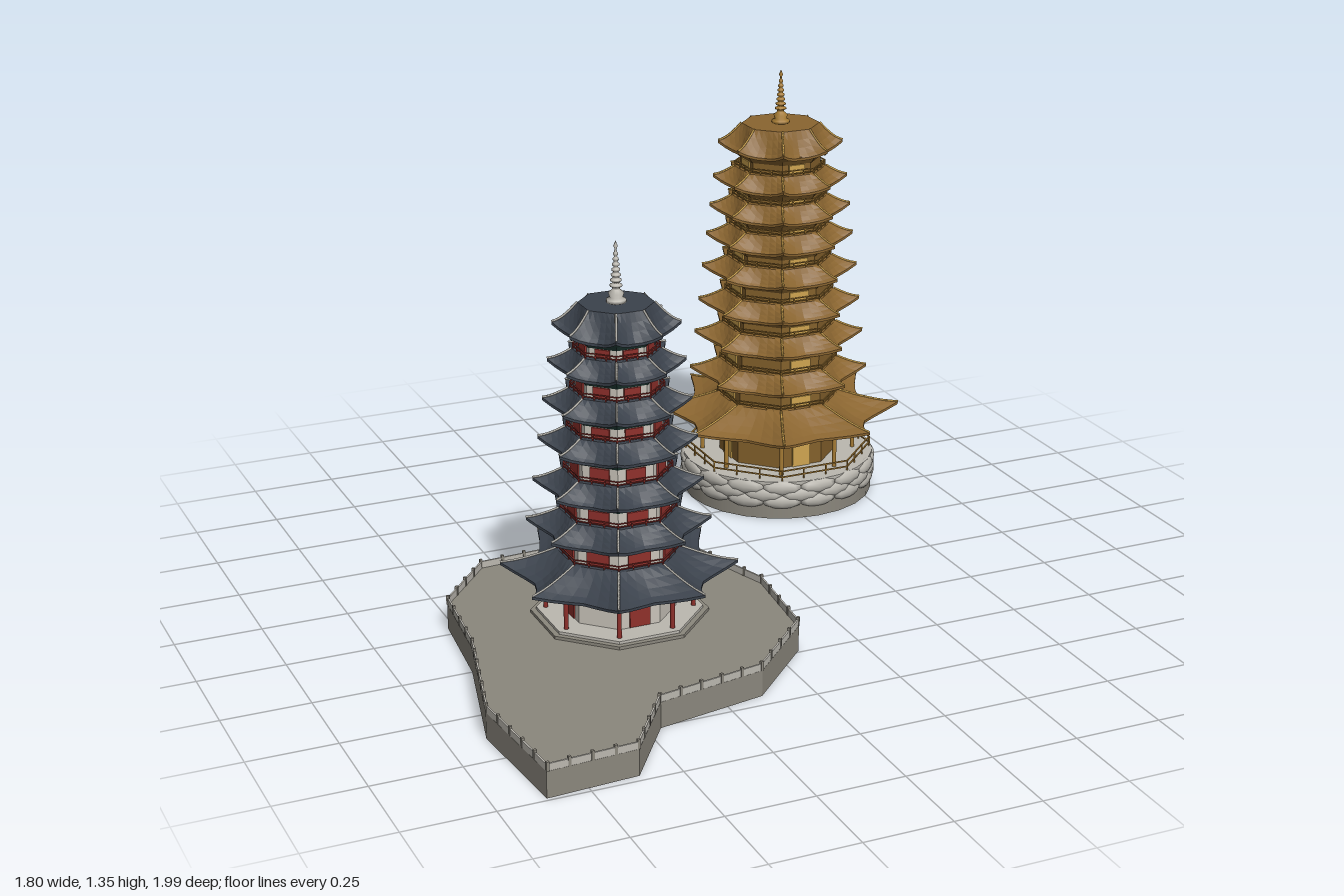
import * as THREE from 'three';

const mat = (name, color) => {
  const m = new THREE.MeshStandardMaterial({ color });
  m.name = name;
  return m;
};
const TAN = Math.tan(Math.PI / 8), COS = Math.cos(Math.PI / 8);
const lerp = THREE.MathUtils.lerp;

function add(parent, name, geo, material, x = 0, y = 0, z = 0) {
  const mesh = new THREE.Mesh(geo, material);
  mesh.name = name;
  mesh.position.set(x, y, z);
  parent.add(mesh);
  return mesh;
}

// Octagonal prism given by its apothems, with a flat side facing +z
function octagon(parent, name, material, apTop, apBottom, y0, y1) {
  const g = new THREE.CylinderGeometry(apTop / COS, apBottom / COS, y1 - y0, 8, 1, false, Math.PI / 8).toNonIndexed();
  g.computeVertexNormals();
  return add(parent, name, g, material, 0, (y0 + y1) / 2, 0);
}

// Places a thing on each of the eight sides
function eachSide(parent, name, step, build) {
  for (let i = 0; i < 8; i += step) {
    const side = new THREE.Group();
    side.name = name;
    side.rotation.y = i * Math.PI / 4;
    parent.add(side);
    build(side);
  }
}

// Closed eight-sided surface: point(row, t) gives [apothem, along, y] with t from -1 to 1
function sidedSurface(rows, point) {
  const N = 6, pos = [], idx = [], cols = 8 * N;
  for (let r = 0; r < rows; r++)
    for (let c = 0; c < cols; c++) {
      const a = Math.floor(c / N) * Math.PI / 4, [ap, along, y] = point(r, (c % N) / N * 2 - 1);
      pos.push(ap * Math.sin(a) + along * Math.cos(a), y, ap * Math.cos(a) - along * Math.sin(a));
    }
  for (let r = 0; r < rows - 1; r++)
    for (let c = 0; c < cols; c++) {
      const a = r * cols + c, d = r * cols + (c + 1) % cols;
      idx.push(a, a + cols, d + cols, a, d + cols, d);
    }
  const g = new THREE.BufferGeometry();
  g.setAttribute('position', new THREE.Float32BufferAttribute(pos, 3));
  g.setIndex(idx);
  const flat = g.toNonIndexed();
  flat.computeVertexNormals();
  return flat;
}

// Star-shaped roof with upturned corners, corner ridges and a bracketed underside
function roof(parent, o, m) {
  const { tip, eave, top, topAp, bodyAp } = o, lift = 0.022, low = eave - lift;
  const eavePoint = (t) => [tip * (0.82 + 0.18 * Math.abs(t) ** 1.5), t * TAN * tip, low + lift * Math.abs(t) ** 2.2];
  const shell = (r, t) => {
    const e = eavePoint(t);
    if (r === 5) return [e[0], e[1], e[2] - 0.008];
    const s = r / 4;
    return [lerp(topAp, e[0], s), lerp(topAp * TAN * t, e[1], s), lerp(top, e[2], 1 - (1 - s) ** 1.5)];
  };
  add(parent, 'roofTiles', sidedSurface(6, shell), m.roof);
  add(parent, 'roofUnderside', sidedSurface(2, (r, t) => {
    if (r === 0) return shell(5, t);
    return [bodyAp, bodyAp * TAN * t, low + 0.004];
  }), m.bracket);
  octagon(parent, 'brackets', m.bracket, bodyAp + 0.03, bodyAp + 0.012, low - 0.012, low + 0.003);
  octagon(parent, 'brackets', m.bracket, bodyAp + 0.012, bodyAp + 0.003, low - 0.026, low - 0.012);
  octagon(parent, 'roofCap', m.roof, topAp, topAp, top - 0.004, top);
  const pts = [0, 1, 2, 3, 4].map((r) => {
    const p = shell(r, 1);
    return new THREE.Vector3(p[1], p[2] + 0.001, p[0]);
  });
  const ridge = new THREE.TubeGeometry(new THREE.CatmullRomCurve3(pts), 8, 0.0035, 4);
  eachSide(parent, 'cornerRidge', 1, (s) => add(s, 'ridge', ridge, m.ridge));
}

// Two rails and posts around an octagon
function railing(parent, ap, y, height, material, bar = 0.004) {
  const w = 2 * ap * TAN;
  eachSide(parent, 'railing', 1, (s) => {
    for (const f of [0.45, 1]) add(s, 'rail', new THREE.BoxGeometry(w, bar, bar), material, 0, y + height * f, ap);
    for (const f of [-0.5, -0.17, 0.17])
      add(s, 'railPost', new THREE.BoxGeometry(bar, height, bar), material, w * f, y + height / 2, ap);
  });
}

// Lathe spire with stacked shrinking rings
function spire(parent, y0, y1, r, material) {
  const h = y1 - y0, pts = [[0, 0], [r * 1.25, 0], [r * 1.25, 0.05], [r * 0.8, 0.08], [r, 0.15], [r * 0.5, 0.21]];
  for (let i = 0; i < 7; i++) {
    const y = 0.24 + i * 0.085, k = r * (0.78 - i * 0.08);
    pts.push([k * 0.6, y], [k, y + 0.02], [k, y + 0.045], [k * 0.6, y + 0.065]);
  }
  pts.push([r * 0.12, 0.86], [r * 0.28, 0.91], [0, 1]);
  add(parent, 'spire', new THREE.LatheGeometry(pts.map(([x, y]) => new THREE.Vector2(x, y0 + y * h)), 12), material);
}

// Whole tower: each tier is [corner reach, eave height]
function pagoda(o, m) {
  const tower = new THREE.Group();
  tower.name = o.name;
  const last = o.tiers.length - 1;
  const bodyAt = (i) => i === 0 ? o.groundAp : lerp(o.firstAp, o.lastAp, (i - 1) / (last - 1));
  let floor = o.floor;
  o.tiers.forEach(([tip, eave], i) => {
    const ap = bodyAt(i), tier = new THREE.Group();
    tier.name = 'tier';
    tower.add(tier);
    const top = i === last ? o.roofTop : eave + (i ? 0.028 : 0.042);
    octagon(tier, 'walls', m.wall, ap, ap, floor - 0.01, eave);
    const w = i ? Math.min(0.068, ap * TAN * 1.1) : 0.06;
    const h = (eave - 0.05 - floor) * (i ? 0.94 : 0.85);
    eachSide(tier, i ? 'window' : 'door', i ? o.windowStep : 2, (s) =>
      add(s, 'panel', new THREE.BoxGeometry(w, h, 0.006), m.panel, 0, floor + h / 2 + 0.002, ap + 0.002));
    if (i) railing(tier, ap + 0.013, floor, 0.016, m.rail, 0.003);
    roof(tier, { tip, eave, top, bodyAp: ap, topAp: i === last ? o.roofTopAp : bodyAt(i + 1) + 0.016 }, m);
    floor = top;
  });
  // Ground floor veranda columns
  const h = o.tiers[0][1] - 0.018 - o.floor;
  eachSide(tower, 'verandaColumn', 1, (s) => add(s, 'column',
    new THREE.CylinderGeometry(0.007, 0.007, h, 8), m.rail, o.columnAp * TAN, o.floor + h / 2, o.columnAp));
  spire(tower, o.roofTop, o.spireTop, 0.022, m.spire);
  return tower;
}

export function createModel() {
  const stone = mat('stone', 0x8b877d), pale = mat('pale stone', 0xbbb8b0);
  const slate = mat('slate tile', 0x3b424c), white = mat('plaster', 0xc9c4ba);
  const red = mat('red lacquer', 0x8f302b), teal = mat('dark teal', 0x24423c);
  const bronze = mat('bronze tile', 0x8a6530), ochre = mat('ochre wall', 0x84612c);
  const gold = mat('bright gold', 0xcfa550), rich = mat('gold trim', 0xa87d35);
  const model = new THREE.Group();
  model.name = 'twinPagodas';

  // Island terrace
  const outline = [[-0.6, -0.24], [-0.26, -0.26], [0.01, -0.09], [0.1, 0.19], [0.07, 0.49], [-0.14, 0.7],
    [-0.46, 0.76], [-0.61, 0.975], [-0.865, 0.99], [-0.895, 0.63], [-0.8, 0.25], [-0.77, -0.04]];
  const island = new THREE.Group();
  island.name = 'island';
  model.add(island);
  const ground = new THREE.ExtrudeGeometry(new THREE.Shape(outline.map(([x, z]) => new THREE.Vector2(x, -z))),
    { depth: 0.075, bevelEnabled: false }).rotateX(-Math.PI / 2);
  add(island, 'terrace', ground, stone);
  // Parapet along the shore
  outline.forEach(([x0, z0], i) => {
    const [x1, z1] = outline[(i + 1) % outline.length];
    const len = Math.hypot(x1 - x0, z1 - z0), n = Math.round(len / 0.07);
    const edge = new THREE.Group();
    edge.name = 'parapet';
    edge.position.set(x0, 0.075, z0);
    edge.rotation.y = -Math.atan2(z1 - z0, x1 - x0);
    island.add(edge);
    add(edge, 'parapetWall', new THREE.BoxGeometry(len, 0.02, 0.005), pale, len / 2, 0.01, 0.003);
    for (let k = 0; k < n; k++)
      add(edge, 'parapetPost', new THREE.BoxGeometry(0.008, 0.027, 0.008), stone, len * k / n, 0.0135, 0.003);
  });

  // Slate tower on a stepped plinth
  const dark = pagoda({
    name: 'slatePagoda', floor: 0.092, groundAp: 0.145, firstAp: 0.145, lastAp: 0.096, columnAp: 0.19, windowStep: 1,
    roofTop: 0.985, roofTopAp: 0.096, spireTop: 1.157,
    tiers: [[0.305, 0.228], [0.236, 0.362], [0.217, 0.48], [0.202, 0.602], [0.188, 0.714], [0.174, 0.826], [0.161, 0.93]],
  }, { roof: slate, bracket: teal, ridge: pale, wall: white, panel: red, rail: red, spire: pale });
  octagon(dark, 'plinth', stone, 0.23, 0.23, 0.07, 0.084);
  octagon(dark, 'plinth', pale, 0.215, 0.215, 0.084, 0.092);
  dark.position.set(-0.345, 0, 0.2);
  model.add(dark);

  // Bronze tower on a lotus base
  const golden = pagoda({
    name: 'bronzePagoda', floor: 0.12, groundAp: 0.17, firstAp: 0.163, lastAp: 0.114, columnAp: 0.22, windowStep: 2,
    roofTop: 1.185, roofTopAp: 0.11, spireTop: 1.35,
    tiers: [[0.352, 0.272], [0.256, 0.4], [0.243, 0.518], [0.232, 0.625], [0.222, 0.735], [0.21, 0.838], [0.2, 0.93],
      [0.19, 1.022], [0.176, 1.13]],
  }, { roof: bronze, bracket: ochre, ridge: gold, wall: ochre, panel: gold, rail: rich, spire: rich });
  add(golden, 'baseDrum', new THREE.CylinderGeometry(0.298, 0.298, 0.12, 24), stone, 0, 0.06, 0);
  add(golden, 'baseDeck', new THREE.CylinderGeometry(0.3, 0.3, 0.01, 24), pale, 0, 0.117, 0);
  const petal = new THREE.SphereGeometry(1, 8, 6).scale(0.062, 0.024, 0.016);
  for (let row = 0; row < 3; row++)
    for (let i = 0; i < 16; i++) {
      const a = (i + row / 2) * Math.PI / 8;
      add(golden, 'lotusPetal', petal, pale, Math.sin(a) * 0.293, 0.056 + row * 0.022, Math.cos(a) * 0.293).rotation.y = a;
    }
  railing(golden, 0.27, 0.12, 0.035, rich);
  golden.position.set(0.545, 0, -0.645);
  model.add(golden);
  return model;
}
